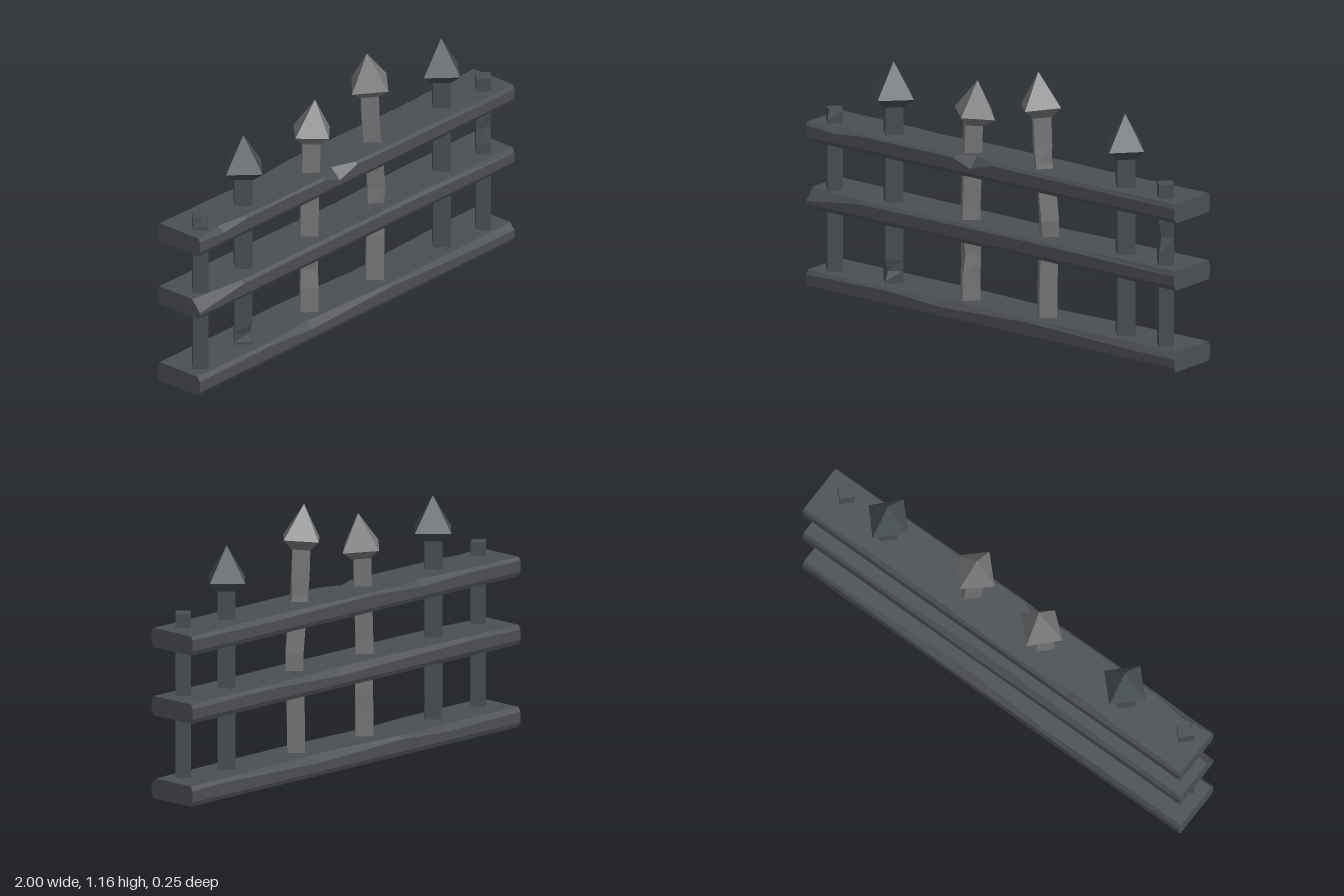
import * as THREE from 'three';

const railStone = new THREE.MeshStandardMaterial({ color: 0x4b4e53 });
railStone.name = 'rail slate';
const darkIron = new THREE.MeshStandardMaterial({ color: 0x474e52 });
darkIron.name = 'dark iron';
const paleIron = new THREE.MeshStandardMaterial({ color: 0x777777 });
paleIron.name = 'pale iron';

// Skin a list of rings (counter-clockwise about the travel direction) with flat faces and end caps
function loft(rings) {
  const pos = [];
  const tri = (a, b, c) => pos.push(...a, ...b, ...c);
  const n = rings[0].length;
  for (let k = 0; k < rings.length - 1; k++) {
    for (let i = 0; i < n; i++) {
      const j = (i + 1) % n, A = rings[k], B = rings[k + 1];
      tri(A[i], A[j], B[j]);
      tri(A[i], B[j], B[i]);
    }
  }
  const first = rings[0], last = rings[rings.length - 1];
  for (let i = 1; i < n - 1; i++) {
    tri(first[0], first[i + 1], first[i]);
    tri(last[0], last[i], last[i + 1]);
  }
  const g = new THREE.BufferGeometry();
  g.setAttribute('position', new THREE.Float32BufferAttribute(pos, 3));
  g.computeVertexNormals();
  return g;
}

function add(parent, name, geometry, material) {
  const m = new THREE.Mesh(geometry, material);
  m.name = name;
  parent.add(m);
  return m;
}

// Four-cornered ring standing on a corner: right, back, left, front
function diamond(x, y, z, r, corner = -1, scale = 1) {
  return [0, 1, 2, 3].map((i) => {
    const t = (i * Math.PI) / 2, q = i === corner ? r * scale : r;
    return [x + Math.cos(t) * q, y, z - Math.sin(t) * q];
  });
}

// Rail with worn edges; each station is [x, front cut depth, front cut drop, back cut depth, back cut drop]
function railGeometry(y0, y1, stations) {
  return loft(stations.map(([x, fd, fh, bd, bh]) => {
    const f = 0.12, b = -0.123;
    return [
      [x, y1, b + bd], [x, y1, f - fd], [x, y1 - fh, f], [x, y0 + 0.02, f],
      [x, y0, f - 0.012], [x, y0, b + 0.01], [x, y0 + 0.02, b], [x, y1 - bh, b],
    ];
  }));
}

// Post along a path of [x, y, chipped corner, corner scale]
function postGeometry(path, z, r) {
  return loft(path.map(([x, y, corner, scale]) => diamond(x, y, z, r, corner, scale)));
}

// Spearhead with its widest ring at the local origin
function headGeometry(corner, scale) {
  return loft([
    diamond(0, -0.042, 0, 0.056),
    diamond(0, 0, 0, 0.11, corner, scale),
    diamond(0, 0.15, 0, 0.001),
  ]);
}

export function createModel() {
  const fence = new THREE.Group();
  fence.name = 'spikedFence';

  // Three horizontal rails
  const rails = [
    ['bottomRail', 0, 0.088, [
      [-1, 0.015, 0.02, 0.012, 0.02], [-0.55, 0.012, 0.012, 0.015, 0.03],
      [-0.28, 0.03, 0.03, 0.012, 0.015], [0.2, 0.012, 0.012, 0.035, 0.03],
      [0.8, 0.02, 0.03, 0.012, 0.015], [1, 0.025, 0.03, 0.012, 0.02]]],
    ['middleRail', 0.362, 0.447, [
      [-1, 0.045, 0.052, 0.01, 0.02], [-0.72, 0.012, 0.015, 0.015, 0.015],
      [0.1, 0.01, 0.012, 0.03, 0.03], [0.5, 0.015, 0.015, 0.012, 0.015],
      [1, 0.012, 0.022, 0.01, 0.02]]],
    ['topRail', 0.66, 0.745, [
      [-1, 0.01, 0.015, 0.01, 0.015], [-0.85, 0.03, 0.025, 0.015, 0.015],
      [-0.7, 0.012, 0.01, 0.015, 0.015], [-0.4, 0.01, 0.01, 0.03, 0.025],
      [-0.2, 0.012, 0.012, 0.012, 0.015], [-0.11, 0.05, 0.045, 0.01, 0.012],
      [0, 0.01, 0.01, 0.01, 0.012], [0.5, 0.01, 0.015, 0.02, 0.02],
      [1, 0.01, 0.02, 0.01, 0.015]]],
  ];
  for (const [name, y0, y1, stations] of rails) {
    add(fence, name, railGeometry(y0, y1, stations), railStone);
  }

  // Short end posts
  add(fence, 'rightEndPost', postGeometry(
    [[-0.91, 0.03], [-0.91, 0.76], [-0.91, 0.805, 3, 0.75]], 0.04, 0.047), darkIron);
  add(fence, 'leftEndPost', postGeometry(
    [[0.89, 0.03], [0.89, 0.5], [0.89, 0.57, 3, 0.65], [0.89, 0.64], [0.89, 0.805]],
    0.04, 0.046), darkIron);

  // Spear posts: shaft path, then head position, tilt and chipped corner
  const spears = [
    ['rightOuterSpear', darkIron,
      [[-0.61, 0.03], [-0.61, 0.1], [-0.61, 0.14, 3, 0.7], [-0.61, 0.19], [-0.61, 0.88]],
      [-0.608, 0.91], 0, 3, 1],
    ['rightInnerSpear', paleIron,
      [[-0.19, 0.03], [-0.19, 0.2], [-0.187, 0.29, 3, 0.7], [-0.19, 0.38],
        [-0.19, 0.5], [-0.183, 0.68], [-0.176, 0.89]],
      [-0.167, 0.912], -0.1, 3, 0.85],
    ['leftInnerSpear', paleIron,
      [[0.225, 0.03], [0.23, 0.3], [0.235, 0.42, 3, 0.75], [0.237, 0.52],
        [0.222, 0.66], [0.208, 0.77, 0, 0.8], [0.2, 0.85], [0.194, 0.985]],
      [0.193, 1.01], 0.1, 1, 0.92],
    ['leftOuterSpear', darkIron,
      [[0.652, 0.03], [0.652, 0.25], [0.652, 0.5], [0.652, 0.88]],
      [0.65, 0.91], 0, 0, 0.93],
  ];
  for (const [name, material, path, [hx, hy], tilt, corner, scale] of spears) {
    const spear = new THREE.Group();
    spear.name = name;
    add(spear, 'shaft', postGeometry(path, 0.015, 0.054), material);
    const head = add(spear, 'spearhead', headGeometry(corner, scale), material);
    head.position.set(hx, hy, 0.015);
    head.rotation.z = tilt;
    fence.add(spear);
  }
  return fence;
}
